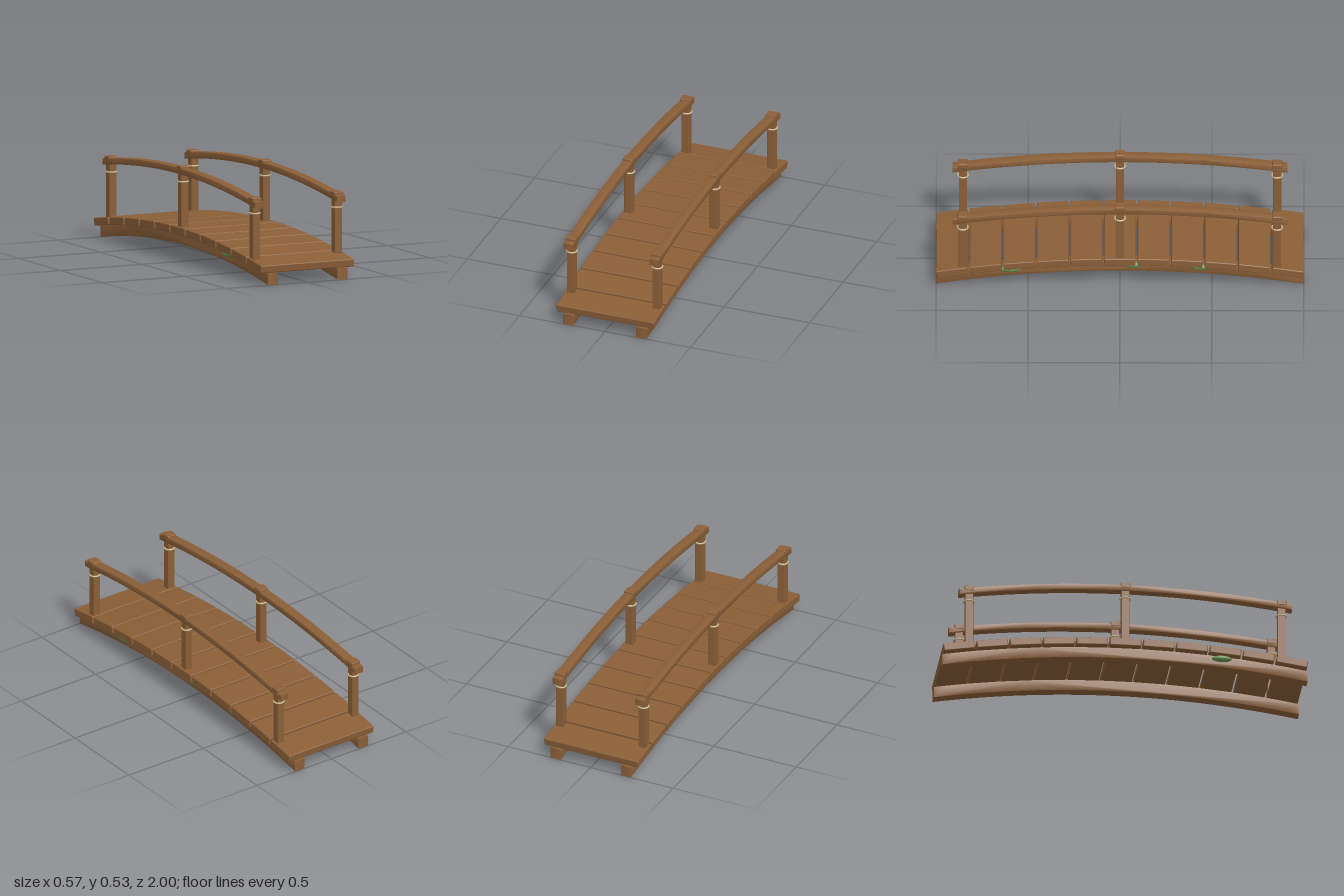
import * as THREE from 'three';
import { toCreasedNormals } from 'three/addons/utils/BufferGeometryUtils.js';
import { RoundedBoxGeometry } from 'three/addons/geometries/RoundedBoxGeometry.js';

const wood = new THREE.MeshStandardMaterial({ color: 0x8b5f38 });
wood.name = 'wood';
const rope = new THREE.MeshStandardMaterial({ color: 0xc8b48a });
rope.name = 'rope';
const moss = new THREE.MeshStandardMaterial({ color: 0x65904d });
moss.name = 'moss';

// Heights along the bridge: all curves share nearly the same arch
const beamY = (z) => 0.121 - 0.088 * z * z;
const deckTop = (z) => 0.193 - 0.084 * z * z;
const railY = (z) => 0.499 - 0.083 * z * z;

// Arched bar running along z with softly bevelled edges
function archedBar(curveY, halfLength, height, width, bevel) {
  const steps = 32;
  const top = [], bottom = [];
  for (let i = 0; i <= steps; i++) {
    const z = -halfLength + (2 * halfLength * i) / steps;
    bottom.push(new THREE.Vector2(z, curveY(z) - height / 2));
    top.unshift(new THREE.Vector2(z, curveY(z) + height / 2));
  }
  const geometry = new THREE.ExtrudeGeometry(new THREE.Shape([...bottom, ...top]), {
    depth: width - 2 * bevel,
    bevelEnabled: true,
    bevelThickness: bevel,
    bevelSize: bevel,
    bevelOffset: -bevel,
    bevelSegments: 2,
  });
  geometry.translate(0, 0, -(width - 2 * bevel) / 2);
  geometry.rotateY(-Math.PI / 2);
  return toCreasedNormals(geometry, 0.5);
}

export function createModel() {
  const bridge = new THREE.Group();
  bridge.name = 'archedFootbridge';

  const add = (name, geometry, material, x, y, z) => {
    const mesh = new THREE.Mesh(geometry, material);
    mesh.name = name;
    mesh.position.set(x, y, z);
    bridge.add(mesh);
    return mesh;
  };

  // Deck planks, tilted to follow the arch
  const plank = new RoundedBoxGeometry(0.57, 0.044, 0.172, 2, 0.006);
  for (let i = -5; i <= 5; i++) {
    const z = i * 0.1823;
    add('plank', plank, wood, 0, deckTop(z) - 0.022, z).rotation.x = Math.atan(0.168 * z);
  }

  const beam = archedBar(beamY, 1, 0.064, 0.064, 0.004);
  const rail = archedBar(railY, 0.912, 0.036, 0.055, 0.006);
  const cap = new RoundedBoxGeometry(0.058, 0.03, 0.055, 2, 0.006);
  const ring = new THREE.TorusGeometry(0.028, 0.005, 8, 32).rotateX(Math.PI / 2);

  for (const [side, s] of [['left', 1], ['right', -1]]) {
    add(side + 'Beam', beam, wood, s * 0.213, 0, 0);
    add(side + 'Handrail', rail, wood, s * 0.25, 0, 0);

    // Posts with caps and rope bindings
    for (const z of [-0.855, 0, 0.855]) {
      const low = deckTop(z) - 0.004;
      const high = railY(z);
      const post = new RoundedBoxGeometry(0.044, high - low, 0.044, 1, 0.003);
      add(side + 'Post', post, wood, s * 0.25, (low + high) / 2, z);
      add(side + 'PostCap', cap, wood, s * 0.25, high + 0.014, z);
      add(side + 'RopeBinding', ring, rope, s * 0.25, high - 0.058, z);
    }
  }

  // Moss patches on the outer beam faces: side, z, y, half length, half height
  const blob = new THREE.SphereGeometry(1, 20, 12);
  for (const [s, z, y, length, height] of [
    [1, 0.6, 0.105, 0.065, 0.019],
    [1, -0.07, 0.135, 0.057, 0.018],
    [1, -0.435, 0.119, 0.049, 0.018],
    [-1, 0.53, 0.112, 0.055, 0.018],
  ]) {
    add('mossPatch', blob, moss, s * 0.247, y, z).scale.set(0.022, height, length);
  }

  return bridge;
}
